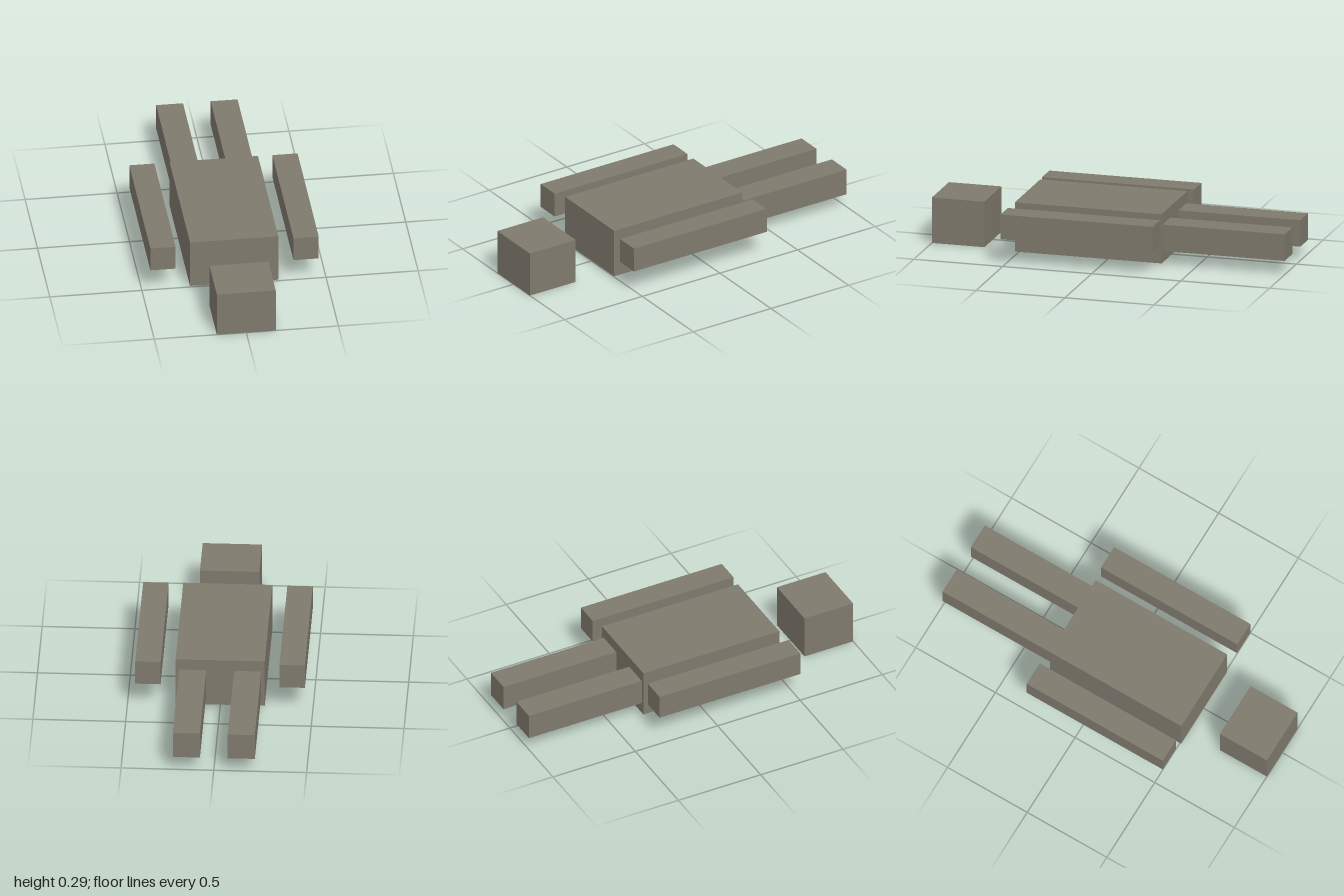
import * as THREE from 'three';

export function createModel() {
  const model = new THREE.Group();
  model.name = 'lyingBlockFigure';
  const stone = new THREE.MeshStandardMaterial({ color: 0x807a6e });
  stone.name = 'warm grey';

  // Box given by its extents on each axis
  function block(name, [x0, x1], [y0, y1], [z0, z1]) {
    const mesh = new THREE.Mesh(new THREE.BoxGeometry(x1 - x0, y1 - y0, z1 - z0), stone);
    mesh.position.set((x0 + x1) / 2, (y0 + y1) / 2, (z0 + z1) / 2);
    mesh.name = name;
    model.add(mesh);
  }

  block('head', [-0.16, 0.16], [0, 0.254], [0.705, 1]);
  block('torso', [-0.24, 0.24], [0.013, 0.288], [-0.315, 0.51]);

  // Mirrored limbs
  for (const [side, s] of [['left', 1], ['right', -1]]) {
    const span = (a, b) => (s > 0 ? [a, b] : [-b, -a]);
    block(side + 'Arm', span(0.32, 0.457), [0.139, 0.277], [-0.33, 0.525]);
    block(side + 'Leg', span(0.075, 0.221), [0.077, 0.225], [-1, -0.315]);
  }
  return model;
}
